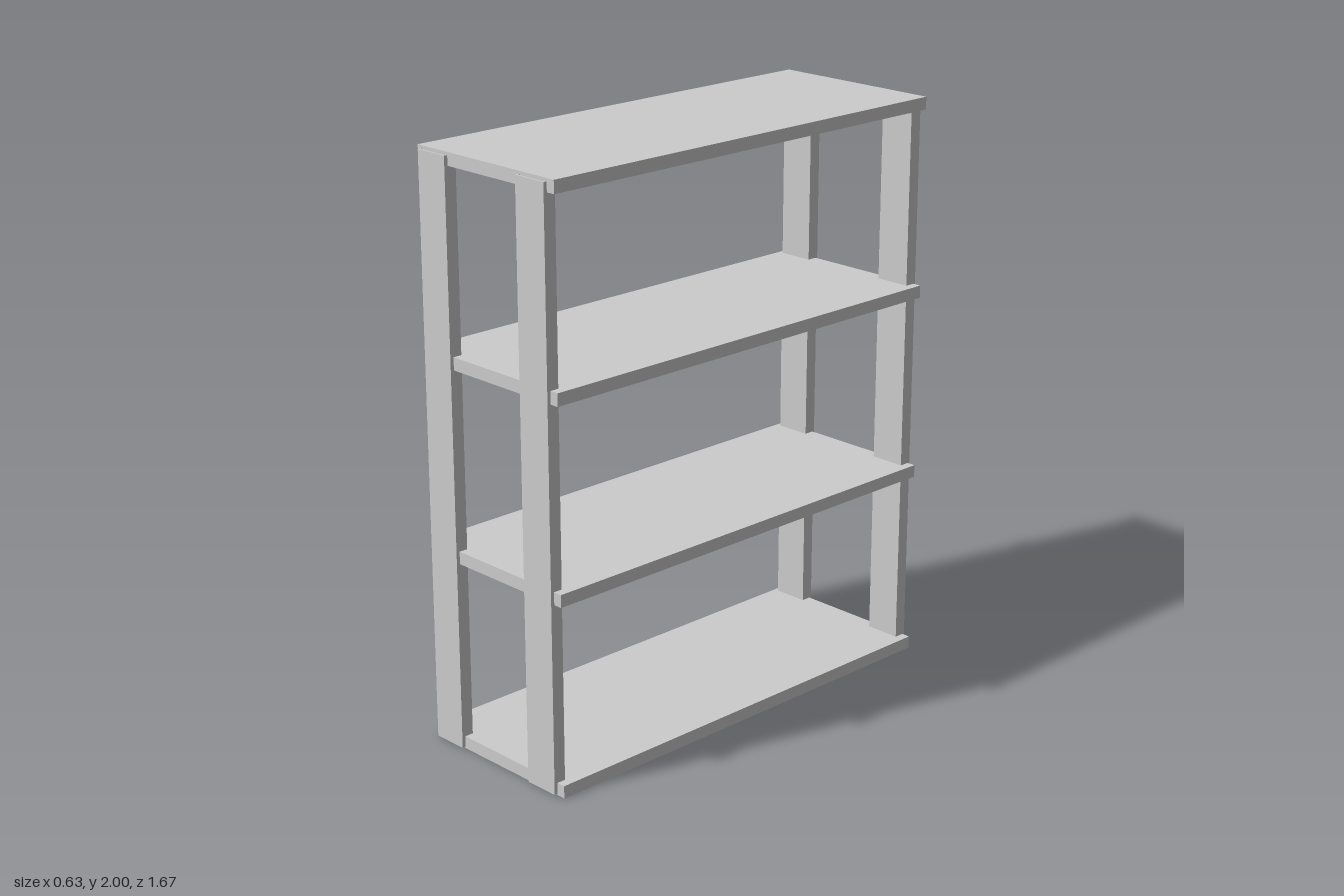
import * as THREE from 'three';

const W = 0.63, D = 1.645, H = 0.043; // shelf width, depth, height
const T = 0.006;                      // sheet thickness
const POST_W = 0.127, POST_D = 0.044, POST_H = 1.985;

// Corners of a rectangle centred on the origin
function rectangle(w, d) {
  return [[-1, -1], [1, -1], [1, 1], [-1, 1]].map(([x, y]) => new THREE.Vector2(x * w / 2, y * d / 2));
}

export function createModel() {
  const model = new THREE.Group();
  const material = new THREE.MeshStandardMaterial({ color: 0xcccccc, flatShading: true });

  function add(parent, name, geometry, position) {
    const mesh = new THREE.Mesh(geometry, material);
    mesh.name = name;
    mesh.position.set(...position);
    parent.add(mesh);
  }

  // Upper shelves: closed slabs
  const slab = new THREE.BoxGeometry(W, H, D);
  for (const y of [0.653, 1.305, 1.957]) add(model, 'shelf', slab, [0, y + H / 2, -0.002]);

  // Bottom shelf: a flat panel with a folded-down lip on all four sides, open below
  const bottom = new THREE.Group();
  bottom.name = 'bottomShelf';
  bottom.position.z = -0.002;
  add(bottom, 'shelfPanel', new THREE.BoxGeometry(W, T, D), [0, H - T / 2, 0]);
  const sideLip = new THREE.BoxGeometry(T, H - T, D);
  const endLip = new THREE.BoxGeometry(W - 2 * T, H - T, T);
  for (const s of [-1, 1]) {
    add(bottom, 'sideLip', sideLip, [s * (W - T) / 2, (H - T) / 2, 0]);
    add(bottom, 'endLip', endLip, [0, (H - T) / 2, s * (D - T) / 2]);
  }
  model.add(bottom);

  // Posts: hollow flat tubes, two at each end, passing through the shelf ends
  const section = new THREE.Shape(rectangle(POST_W, POST_D));
  section.holes.push(new THREE.Path(rectangle(POST_W - 2 * T, POST_D - 2 * T)));
  const tube = new THREE.ExtrudeGeometry(section, { depth: POST_H, bevelEnabled: false });
  tube.rotateX(-Math.PI / 2);
  for (const [end, s] of [['front', 1], ['back', -1]]) {
    add(model, end + 'RightPost', tube, [-0.236, 0.005, s * 0.811]);
    add(model, end + 'LeftPost', tube, [0.22, 0.005, s * 0.811]);
  }
  return model;
}
